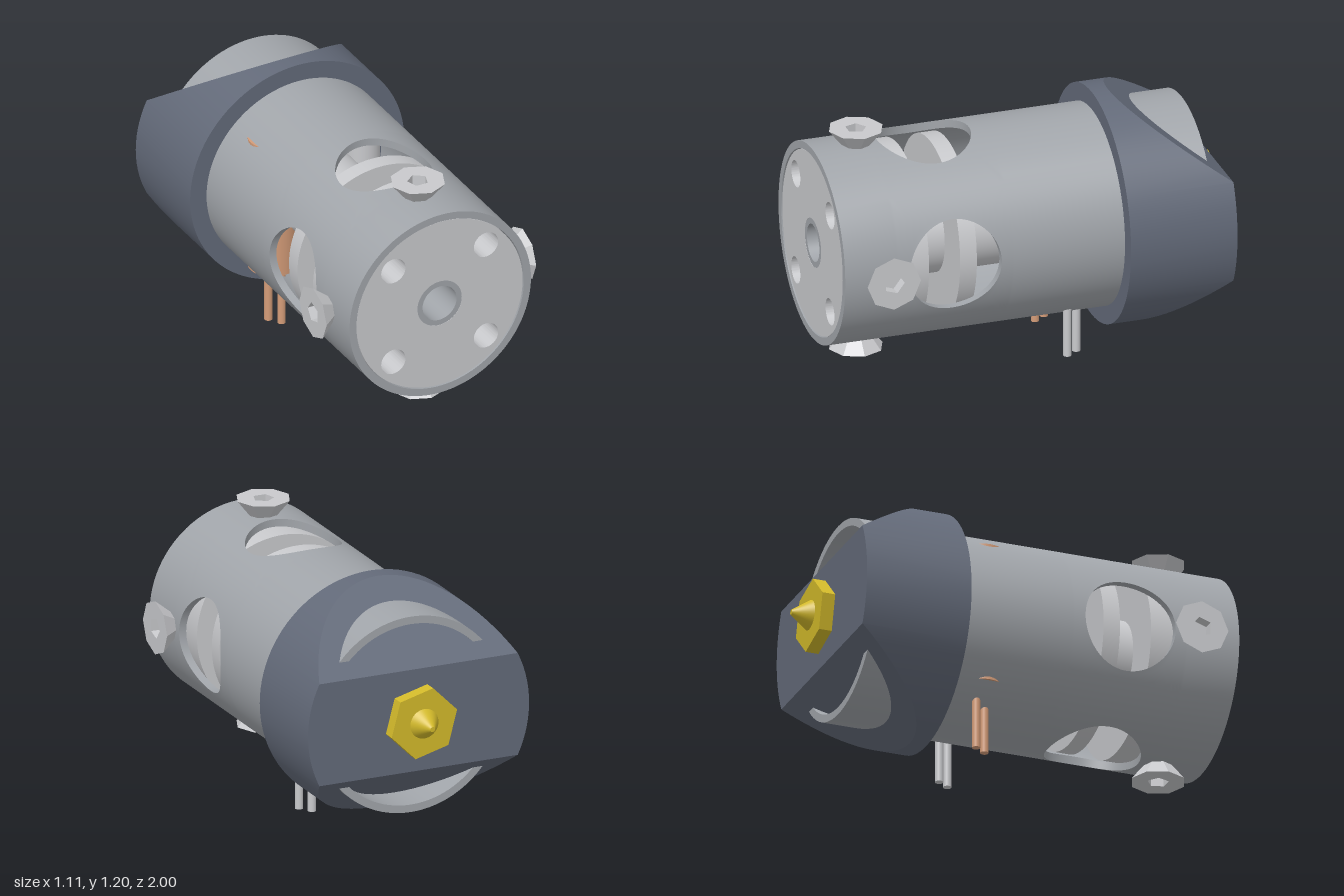
import * as THREE from 'three';
import { mergeGeometries, toCreasedNormals } from 'three/addons/utils/BufferGeometryUtils.js';
import { ConvexGeometry } from 'three/addons/geometries/ConvexGeometry.js';

const material = (name, color) => {
  const m = new THREE.MeshStandardMaterial({ color });
  m.name = name;
  return m;
};
const HOLE_Z = 0.47, HOLE_R = 0.22, PATCH = 0.28, R_OUT = 0.47, R_IN = 0.434;

// Revolved ring around z with a closed rectangular profile
function ring(rOut, rIn, z0, z1, segments = 96) {
  const p = [[rOut, z0], [rOut, z1], [rIn, z1], [rIn, z0], [rOut, z0]];
  return new THREE.LatheGeometry(p.map(([x, y]) => new THREE.Vector2(x, y)), segments).rotateX(Math.PI / 2);
}

// Quarter of the tube wall with a round window bored through it
function windowPanel(turn) {
  const N = 96, M = 8, pos = [], idx = [];
  for (let i = 0; i <= N; i++) {
    const side = Math.floor(i / 24) % 4, k = (i % 24) / 12 - 1;
    const [sx, sy] = [[1, k], [-k, 1], [-1, -k], [k, -1]][side];
    const phi = -Math.PI / 4 + (i / N) * Math.PI * 2;
    for (let j = 0; j <= 2 * M + 1; j++) {
      const outer = j <= M;
      const R = outer ? R_OUT : R_IN;
      const t = outer ? j / M : (2 * M + 1 - j) / M;
      const a = THREE.MathUtils.lerp(sx * Math.PI / 4, Math.asin(HOLE_R * Math.cos(phi) / R), t);
      const z = THREE.MathUtils.lerp(sy * PATCH, HOLE_R * Math.sin(phi), t);
      pos.push(R * Math.cos(a + turn), R * Math.sin(a + turn), HOLE_Z + z);
    }
  }
  const W = 2 * M + 2;
  for (let i = 0; i < N; i++) for (let j = 0; j < W - 1; j++) {
    const a = i * W + j, b = a + W;
    idx.push(a, b, b + 1, a, b + 1, a + 1);
  }
  const g = new THREE.BufferGeometry();
  g.setAttribute('position', new THREE.Float32BufferAttribute(pos, 3));
  g.setIndex(idx);
  return g;
}

function tubeGeometry() {
  const parts = [ring(R_OUT, R_IN, -0.77, HOLE_Z - PATCH), ring(R_OUT, R_IN, HOLE_Z + PATCH, 1)];
  for (const p of parts) { p.deleteAttribute('uv'); p.deleteAttribute('normal'); }
  for (let q = 0; q < 4; q++) parts.push(windowPanel(q * Math.PI / 2));
  return toCreasedNormals(mergeGeometries(parts), 0.5);
}

// Cylinder cut by two slanted planes that meet a flat back
function sockGeometry() {
  const R = 0.555, flat = 0.245, points = [];
  const angles = Array.from({ length: 96 }, (_, i) => (i / 96) * Math.PI * 2);
  const c = Math.asin(flat / R);
  angles.push(c, -c, Math.PI - c, Math.PI + c);
  for (const a of angles) {
    const x = R * Math.cos(a), y = R * Math.sin(a);
    const back = Math.abs(y) <= flat + 1e-6 ? -0.85 : -0.85 + (Math.abs(y) - flat) * 0.43 / 0.31;
    points.push(new THREE.Vector3(x, y, -0.34), new THREE.Vector3(x, y, back));
  }
  return toCreasedNormals(new ConvexGeometry(points), 0.3);
}

function polygon(Type, r, n, start = 0) {
  return new Type(Array.from({ length: n }, (_, i) => {
    const a = start + (i / n) * Math.PI * 2;
    return new THREE.Vector2(r * Math.cos(a), r * Math.sin(a));
  }));
}

// Eight-sided countersunk head with a socket, pointing up y
function boltHeadGeometry() {
  const s = polygon(THREE.Shape, 0.128, 8);
  s.holes.push(polygon(THREE.Path, 0.05, 5, 0.3));
  const g = new THREE.ExtrudeGeometry(s, { depth: 0.08, bevelEnabled: false });
  const p = g.attributes.position;
  for (let i = 0; i < p.count; i++) {
    if (p.getZ(i) < 0.01 && Math.hypot(p.getX(i), p.getY(i)) > 0.1) {
      p.setXY(i, p.getX(i) * 0.5, p.getY(i) * 0.5);
    }
  }
  g.computeVertexNormals();
  return g.rotateX(-Math.PI / 2).translate(0, 0.463, 0);
}

export function createModel() {
  const steel = material('tube grey', 0xa1a5aa);
  const light = material('light grey', 0xc8c9cc);
  const blue = material('slate blue', 0x636a79);
  const brass = material('brass', 0xd2b92a);
  const copper = material('copper', 0xd49c78);
  const model = new THREE.Group();
  const body = new THREE.Group();
  body.name = 'body';
  body.position.y = 0.64;
  model.add(body);

  const add = (name, geometry, mat, parent = body) => {
    const m = new THREE.Mesh(geometry, mat);
    m.name = name;
    parent.add(m);
    return m;
  };
  const rod = (name, rFront, rBack, z0, z1, mat, n = 64) =>
    add(name, new THREE.CylinderGeometry(rFront, rBack, z1 - z0, n).rotateX(Math.PI / 2).translate(0, 0, (z0 + z1) / 2), mat);
  const post = (name, x, z, r, y0, y1, mat) =>
    add(name, new THREE.CylinderGeometry(r, r, y1 - y0, 32).translate(x, (y0 + y1) / 2, z), mat);

  add('outerTube', tubeGeometry(), steel);
  add('sock', sockGeometry(), blue);

  // Front plug with four blind holes and a central collar
  const face = new THREE.Shape().absarc(0, 0, 0.43, 0, Math.PI * 2);
  const hole = (x, y, r) => face.holes.push(new THREE.Path().absarc(x, y, r, 0, Math.PI * 2, true));
  for (const x of [-0.24, 0.24]) for (const y of [-0.24, 0.24]) hole(x, y, 0.063);
  hole(0, 0, 0.115);
  const plug = new THREE.ExtrudeGeometry(face, { depth: 0.24, bevelEnabled: false, curveSegments: 48 });
  add('frontPlug', toCreasedNormals(plug.translate(0, 0, 0.755), 0.5), light);
  rod('plugBase', 0.43, 0.43, 0.585, 0.756, light, 96);
  add('collar', toCreasedNormals(ring(0.115, 0.088, 0.75, 0.994, 48), 0.5), steel);
  rod('collarFloor', 0.09, 0.09, 0.75, 0.77, steel);
  add('feedInlet', toCreasedNormals(ring(0.043, 0.014, 0.76, 0.775, 32), 0.5), brass);

  // Inner core and cooling fin seen through the windows
  rod('core', 0.21, 0.21, 0.35, 0.59, light);
  rod('coolingFin', 0.427, 0.427, 0.355, 0.435, light, 96);
  rod('heaterCore', 0.21, 0.21, -0.4, 0.36, light);

  // Heater cartridge, sensor and their paired leads
  post('heaterCartridge', -0.225, -0.165, 0.114, -0.338, 0.338, copper);
  post('sensor', 0.24, -0.163, 0.08, -0.33, 0.33, light);
  for (const [x, z] of [[-0.195, -0.135], [-0.233, -0.19]]) post('heaterLead', x, z, 0.019, -0.64, -0.3, copper);
  for (const [x, z] of [[0.26, -0.135], [0.222, -0.19]]) post('sensorLead', x, z, 0.019, -0.615, -0.3, light);

  // Four countersunk bolts around the front end
  const head = boltHeadGeometry();
  for (let q = 0; q < 4; q++) {
    const bolt = new THREE.Group();
    bolt.name = 'bolt';
    bolt.position.z = 0.79;
    bolt.rotation.z = q * Math.PI / 2;
    body.add(bolt);
    add('boltHead', head, light, bolt);
    add('boltShank', new THREE.CylinderGeometry(0.06, 0.06, 0.08, 24).translate(0, 0.45, 0), light, bolt);
  }

  // Brass nozzle: hexagon with a cone tip
  const hex = new THREE.CylinderGeometry(0.17, 0.17, 0.07, 6, 1, false, Math.PI * 0.75).toNonIndexed();
  hex.computeVertexNormals();
  add('nozzleHex', hex.rotateX(Math.PI / 2).translate(0, 0, -0.877), brass);
  rod('nozzleTip', 0.072, 0.012, -1, -0.91, brass, 48);
  return model;
}
